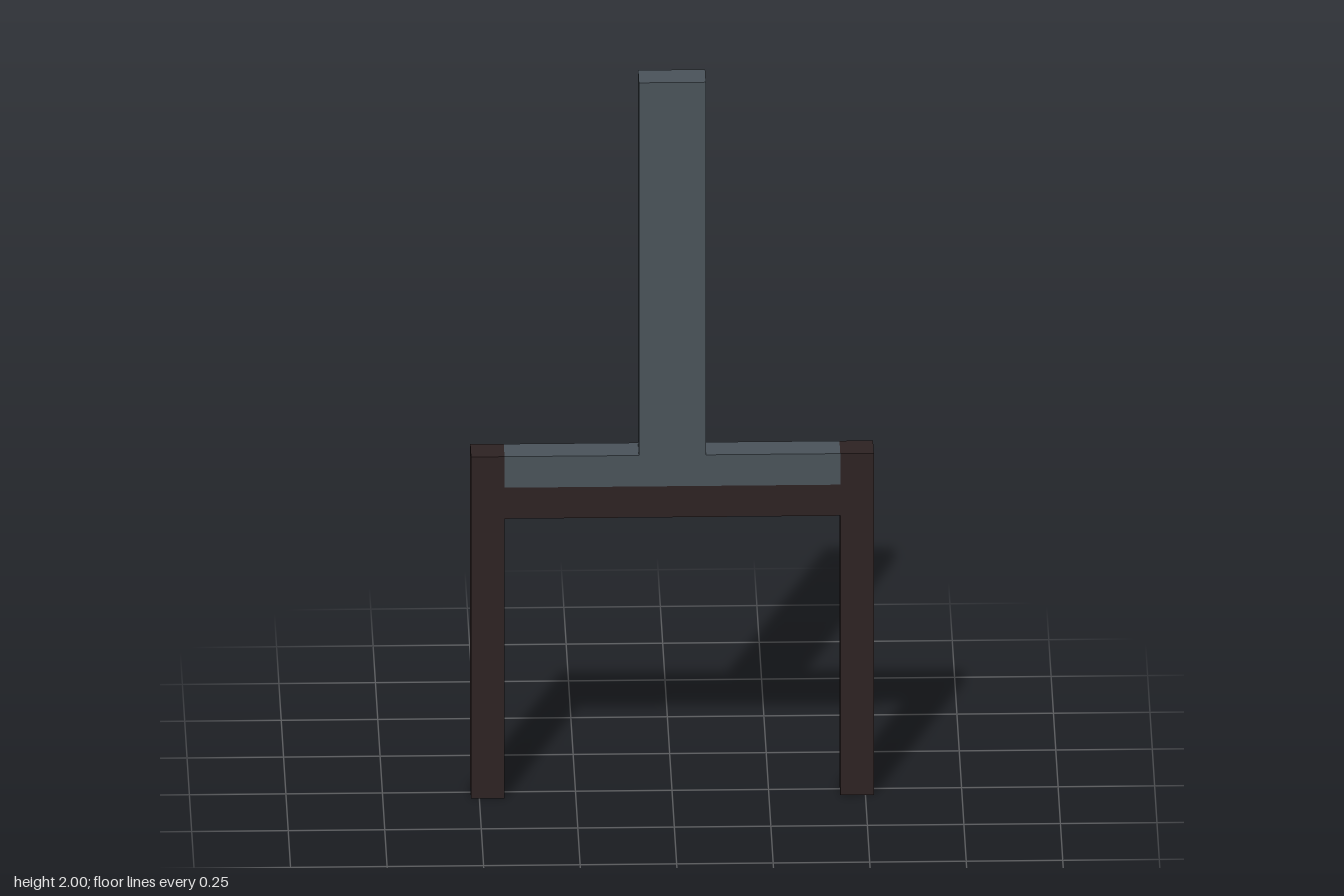
import * as THREE from 'three';

// Every size is a whole number of square-bar widths; the height is 23 of them.
const U = 2 / 23;

export function createModel() {
  const model = new THREE.Group();
  model.name = 'forkedFrame';

  const slate = new THREE.MeshStandardMaterial({ name: 'slateGrey', color: 0x4a535a });
  const brown = new THREE.MeshStandardMaterial({ name: 'darkBrown', color: 0x2d2222 });

  // Box centred on x, with its base at y
  const addBar = (name, material, width, height, x, y) => {
    const geometry = new THREE.BoxGeometry(width * U, height * U, U);
    const bar = new THREE.Mesh(geometry, material);
    bar.name = name;
    bar.position.set(x * U, (y + height / 2) * U, 0);
    model.add(bar);
  };

  // Two legs joined by a lower crossbar
  addBar('leftLeg', brown, 1, 11, 5.5, 0);
  addBar('rightLeg', brown, 1, 11, -5.5, 0);
  addBar('lowerCrossbar', brown, 10, 1, 0, 9);

  // Inverted T: an outline keeps the front and back faces in one piece
  const outline = [[-5, 10], [5, 10], [5, 11], [1, 11], [1, 23], [-1, 23], [-1, 11], [-5, 11]];
  const shape = new THREE.Shape(outline.map(([x, y]) => new THREE.Vector2(x * U, y * U)));
  const geometry = new THREE.ExtrudeGeometry(shape, { depth: U, bevelEnabled: false });
  geometry.translate(0, 0, -U / 2);
  const post = new THREE.Mesh(geometry, slate);
  post.name = 'postAndUpperCrossbar';
  model.add(post);

  return model;
}
